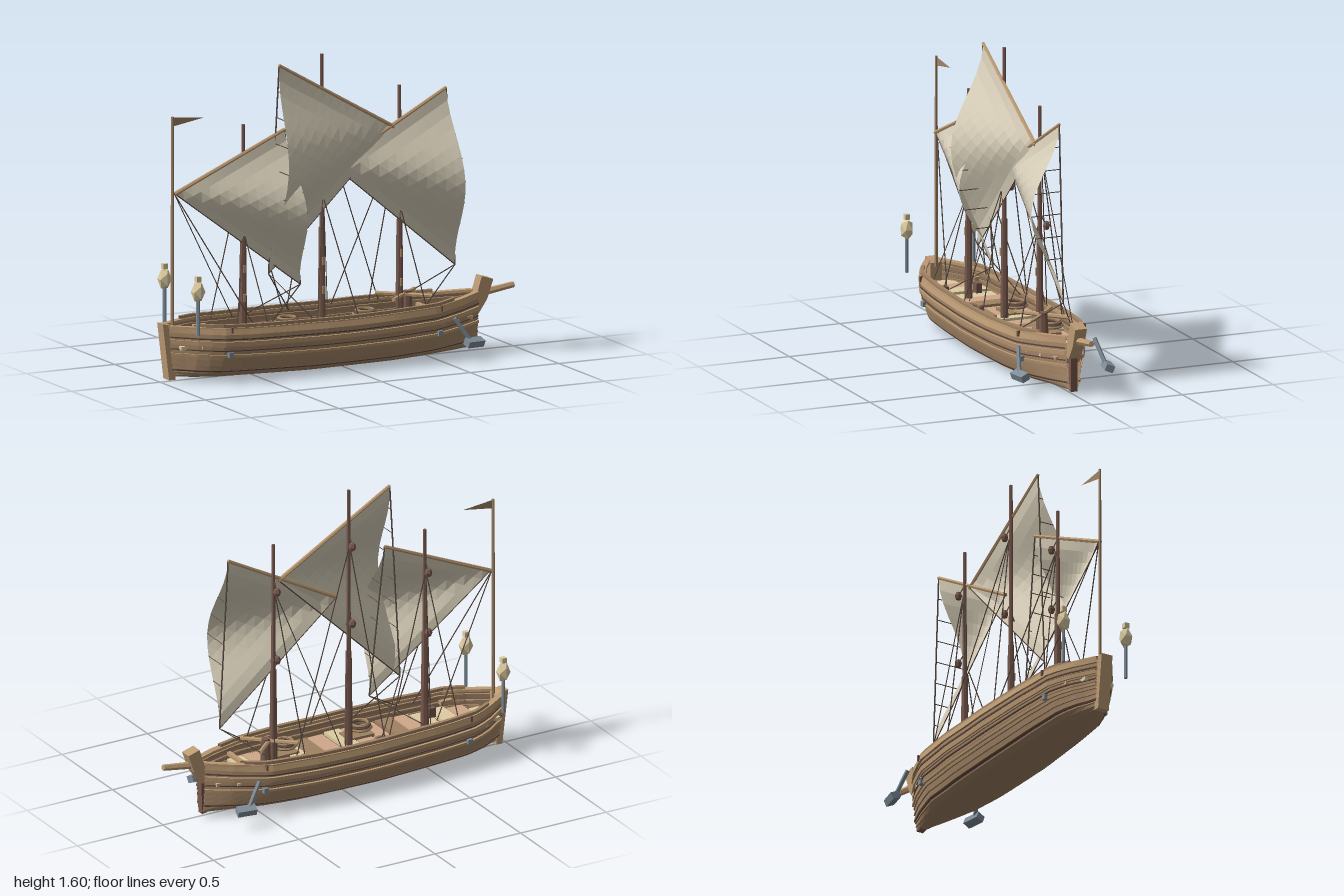
import * as THREE from 'three';

const mat = (name, color, side = THREE.FrontSide) => {
  const m = new THREE.MeshStandardMaterial({ color, side, flatShading: true });
  m.name = name;
  return m;
};
const M = {
  hull: mat('hull wood', 0xa08264, THREE.DoubleSide),
  trim: mat('light trim wood', 0xbd9b74, THREE.DoubleSide),
  dark: mat('dark wood', 0x604a3f, THREE.DoubleSide),
  mast: mat('mast wood', 0x78594d),
  sail: mat('sail cloth', 0xdad1bb, THREE.DoubleSide),
  pale: mat('pale plank', 0xdecda2),
  warm: mat('warm plank', 0xd0a88a),
  metal: mat('grey metal', 0x808e9a),
  rope: mat('rope', 0x574840),
};
const V = (x, y, z) => new THREE.Vector3(x, y, z);

// Piecewise linear lookup through [position, value] pairs
function lookup(pts, t) {
  if (t <= pts[0][0]) return pts[0][1];
  for (let i = 1; i < pts.length; i++) {
    const [a, p] = pts[i - 1], [b, q] = pts[i];
    if (t <= b) return p + ((q - p) * (t - a)) / (b - a);
  }
  return pts[pts.length - 1][1];
}
const BEAM = [[-0.97, 0.035], [-0.86, 0.11], [-0.74, 0.175], [-0.5, 0.2], [-0.15, 0.215], [0.2, 0.21], [0.48, 0.18], [0.66, 0.105], [0.78, 0.038]];
const KEEL = [[-0.97, 0.035], [-0.7, 0.02], [-0.2, 0.008], [0.3, 0.012], [0.78, 0.035]];
const SHEER = [[-0.97, 0.3], [-0.6, 0.285], [0, 0.28], [0.5, 0.29], [0.78, 0.315]];
const FLARE = [[0, 0.25], [0.04, 0.47], [0.1, 0.62], [0.2, 0.73], [0.4, 0.85], [0.65, 0.95], [0.88, 1], [1, 0.96]];
const beam = (x) => lookup(BEAM, x);

// Point on the hull skin: height fraction v, pushed out by off and up by lift
function skin(x, v, off, lift, side) {
  const k = lookup(KEEL, x);
  const rake = x < -0.9 ? (1 - v) * 0.025 : 0;
  return [x + rake, k + v * (lookup(SHEER, x) - k) + lift, side * Math.max(0.004, beam(x) * lookup(FLARE, v) + off)];
}

export function createModel() {
  const root = new THREE.Group();
  const add = (geo, material, name) => {
    const m = new THREE.Mesh(geo, material);
    m.name = name;
    root.add(m);
    return m;
  };
  const box = (w, h, d, x, y, z, material, name) => {
    const m = add(new THREE.BoxGeometry(w, h, d), material, name);
    m.position.set(x, y, z);
    return m;
  };
  // Round bar between two points
  const bar = (a, b, r0, r1, material, name, sides = 6) => {
    const d = b.clone().sub(a);
    const m = add(new THREE.CylinderGeometry(r1, r0, d.length(), sides), material, name);
    m.position.copy(a).add(b).multiplyScalar(0.5);
    m.quaternion.setFromUnitVectors(V(0, 1, 0), d.normalize());
  };
  const rope = (a, b, name = 'rigging', r = 0.003) => bar(a, b, r, r, M.rope, name, 4);
  const surface = (pos, idx) => {
    const g = new THREE.BufferGeometry();
    g.setAttribute('position', new THREE.Float32BufferAttribute(pos, 3));
    g.setIndex(idx);
    const flat = g.toNonIndexed();
    flat.computeVertexNormals();
    return flat;
  };
  // Grid surface from a point function over nu by nv cells
  const grid = (nu, nv, fn) => {
    const pos = [], idx = [];
    for (let i = 0; i <= nu; i++) for (let j = 0; j <= nv; j++) pos.push(...fn(i, j));
    for (let i = 0; i < nu; i++) for (let j = 0; j < nv; j++) {
      const a = i * (nv + 1) + j, b = a + nv + 1;
      idx.push(a, b, a + 1, b, b + 1, a + 1);
    }
    return surface(pos, idx);
  };
  // Triangular sheet: row i holds i + 1 points
  const sheet = (n, fn) => {
    const pos = [], idx = [], at = (i, j) => (i * (i + 1)) / 2 + j;
    for (let i = 0; i <= n; i++) for (let j = 0; j <= i; j++) pos.push(...fn(i / n, i ? j / i : 0));
    for (let i = 0; i < n; i++) for (let j = 0; j <= i; j++) {
      idx.push(at(i, j), at(i + 1, j), at(i + 1, j + 1));
      if (j < i) idx.push(at(i, j), at(i + 1, j + 1), at(i, j + 1));
    }
    return surface(pos, idx);
  };
  // Strip along the hull: rows of [height fraction, outward offset, lift]
  const strip = (rows, x0, x1, material, name) => {
    for (const side of [1, -1]) {
      add(grid(28, rows.length - 1, (i, j) => skin(x0 + ((x1 - x0) * i) / 28, ...rows[j], side)), material, name);
    }
  };

  // Overlapping hull planks
  const edges = [0, 0.04, 0.1, 0.17, 0.26, 0.37, 0.5, 0.63, 0.76, 0.88, 1];
  for (let i = 0; i < edges.length - 1; i++) {
    strip([[edges[i], -0.004, 0], [edges[i], 0.008, 0], [edges[i + 1], 0, 0]], -0.97, 0.78, M.hull, 'hullPlank');
  }
  add(grid(28, 1, (i, j) => skin(-0.97 + (1.75 * i) / 28, 0, 0, 0, j ? 1 : -1)), M.hull, 'hullBottom');
  for (const [v0, v1, o, m] of [[0.88, 0.985, 0.013, M.trim], [0.66, 0.74, 0.015, M.trim], [0.43, 0.48, 0.014, M.trim], [0.775, 0.8, 0.011, M.dark], [0.55, 0.57, 0.011, M.dark], [0.13, 0.155, 0.011, M.dark]]) {
    strip([[v0, 0, 0], [v0, o, 0], [v1, o, 0], [v1, 0, 0]], -0.97, 0.78, m, 'rubbingStrake');
  }
  strip([[1, 0.014, -0.012], [1, 0.014, 0.002], [1, -0.022, 0.002], [1, -0.022, -0.012], [1, 0.014, -0.012]], -0.97, 0.78, M.trim, 'gunwale');
  strip([[1, 0.006, 0], [1, 0.006, 0.018], [1, -0.014, 0.018], [1, -0.014, 0]], -0.83, 0.6, M.hull, 'upperRail');

  // Stem and stern posts
  const post = (pts, width, material, name) => {
    const g = new THREE.ExtrudeGeometry(new THREE.Shape(pts.map((p) => new THREE.Vector2(...p))), { depth: width, bevelEnabled: false });
    add(g.translate(0, 0, -width / 2), material, name);
  };
  post([[0.75, 0.2], [0.787, 0.2], [0.835, 0.27], [0.87, 0.37], [0.805, 0.39], [0.78, 0.31], [0.75, 0.25]], 0.064, M.trim, 'stemHead');
  post([[0.75, 0.03], [0.782, 0.025], [0.786, 0.205], [0.75, 0.205]], 0.036, M.mast, 'stemPost');
  post([[-0.965, 0.02], [-0.93, 0.02], [-0.93, 0.29], [-0.96, 0.305], [-1, 0.31]], 0.064, M.trim, 'sternPost');
  bar(V(0.77, 0.292, 0), V(1, 0.325, 0), 0.02, 0.016, M.trim, 'bowsprit');

  // Deck planks laid across the hull
  add(grid(28, 1, (i, j) => { const x = -0.95 + (1.71 * i) / 28; return [x, 0.17, (j ? 1 : -1) * beam(x) * 0.86]; }), M.dark, 'deckBase');
  [...'PWPPWHWWPWHPWWPPW'].forEach((c, i) => {
    const x = -0.88 + i * 0.098;
    box(0.086, 0.018, beam(x) * 1.76, x, 0.188 + (i % 3) * 0.005, 0, { P: M.pale, W: M.warm, H: M.hull }[c], 'deckPlank');
  });
  for (const s of [1, -1]) {
    for (const x of [-0.22, 0.22]) {
      box(0.15, 0.02, 0.1, x + 0.04, 0.205, s * 0.08, M.hull, 'hatch');
      for (let k = 0; k < 3; k++) {
        const coil = add(new THREE.TorusGeometry(0.058 - k * 0.007, 0.008, 5, 16), k === 1 ? M.dark : M.hull, 'ropeCoil');
        coil.rotation.x = Math.PI / 2;
        coil.position.set(x, 0.225 + k * 0.01, s * 0.12);
      }
    }
    // Benches and side fittings
    box(0.07, 0.02, 0.025, -0.72, 0.25, s * 0.115, M.trim, 'bench');
    box(0.04, 0.05, 0.03, -0.62, 0.225, s * 0.09, M.mast, 'bollard');
    box(0.02, 0.02, 0.13, 0.53, 0.24, s * 0.08, M.trim, 'bench');
    for (const x of [-0.69, 0.5]) {
      box(0.026, 0.026, 0.025, x, 0.15, s * (beam(x) * 0.92 + 0.008), M.metal, 'portPlate');
      box(0.01, 0.03, 0.016, x, 0.28, s * (beam(x) + 0.01), M.mast, 'cleat');
    }

    // Stern lanterns
    bar(V(-0.88, 0.27, s * 0.185), V(-0.88, 0.46, s * 0.185), 0.009, 0.009, M.metal, 'lanternPole');
    const lamp = add(new THREE.IcosahedronGeometry(0.037), M.pale, 'lantern');
    lamp.scale.y = 1.55;
    lamp.position.set(-0.88, 0.495, s * 0.185);
    box(0.026, 0.028, 0.026, -0.88, 0.56, s * 0.185, M.pale, 'lanternCap');

    // Bow anchors
    bar(V(0.56, 0.23, s * 0.21), V(0.635, 0.115, s * 0.236), 0.011, 0.011, M.metal, 'anchorShank');
    const head = box(0.1, 0.036, 0.045, 0.655, 0.103, s * 0.242, M.metal, 'anchorHead');
    head.rotation.set(s * 0.4, s * 0.17, -0.1);
  }

  // Capstan with crossed bars
  bar(V(0.4, 0.19, 0), V(0.4, 0.35, 0), 0.03, 0.022, M.mast, 'capstan', 8);
  for (const s of [1, -1]) bar(V(0.27, 0.332, s * 0.1), V(0.49, 0.332, -s * 0.1), 0.011, 0.011, M.trim, 'capstanBar');

  // Masts, yards, sails and rigging
  const rigs = [
    { x: -0.53, top: 1.29, blocks: [1.065, 0.735], tack: [-0.92, 0.97], peak: [-0.3, 1.245], clew: [-0.21, 0.44], haul: -0.45, feet: [-0.11, 0.06, 0.31] },
    { x: -0.085, top: 1.61, blocks: [1.31, 0.885], tack: [0.32, 1.2], peak: [-0.33, 1.575], clew: [-0.39, 0.51], haul: -0.2, feet: [-0.11, 0.12, 0.4] },
    { x: 0.355, top: 1.41, blocks: [1.16, 0.785], tack: [-0.02, 1.03], peak: [0.615, 1.375], clew: [0.665, 0.46], haul: 0.42, feet: [-0.09, 0.08, -0.3] },
  ];
  for (const { x, top, blocks, tack, peak, clew, haul, feet } of rigs) {
    bar(V(x, 0.17, 0), V(x, 0.72, 0), 0.022, 0.016, M.mast, 'lowerMast', 8);
    bar(V(x, 0.7, 0), V(x, top, 0), 0.012, 0.009, M.mast, 'upperMast', 8);
    for (const y of [0.4, 0.55]) box(0.012, 0.04, 0.012, x, y, 0.017, M.trim, 'mastCleat');
    for (const y of blocks) {
      const b = add(new THREE.SphereGeometry(0.02, 6, 4), M.mast, 'pulleyBlock');
      b.scale.y = 1.25;
      b.rotation.y = Math.PI / 6;
      b.position.set(x, y, -0.037);
      rope(V(x, y, -0.036), V(x, y + 0.07, 0));
    }
    const T = V(...tack, 0.008), P = V(...peak, 0.008), C = V(...clew, 0.008);
    bar(T, P, 0.011, 0.009, M.trim, 'yard');

    // Lateen sail, swelling most along its free edge
    const cloth = (s, t) => {
      const p = T.clone().lerp(P.clone().lerp(C, t), s);
      p.z += 0.165 * Math.pow(s, 1.25) * Math.sin(Math.PI * t) ** 2;
      return p;
    };
    add(sheet(14, (s, t) => cloth(s, t).toArray()), M.sail, 'sail');
    rope(P, C, 'leechRope', 0.0045);
    rope(T, C, 'footRope', 0.003);
    for (let k = 1; k < 8; k++) rope(P.clone().lerp(C, k / 8), cloth(1, k / 8), 'leechTie', 0.0025);

    // Shrouds: high on the open side, low on the sail side
    feet.forEach((f, k) => {
      const z = beam(x + f) - 0.04;
      rope(V(x, blocks[0], -0.01), V(x + f, 0.28, -z), 'shroud');
      if (k < 2) rope(V(x, blocks[1], 0.01), V(x + f, 0.28, z), 'shroud');
    });
    rope(C, V(haul, 0.28, 0.14), 'sheetRope');
    rope(C, V(haul, 0.28, -0.14), 'sheetRope');
  }
  rope(V(-0.92, 0.97, 0), V(-0.53, 0.28, 0.12), 'brace');
  rope(V(-0.92, 0.97, 0), V(-0.53, 0.28, -0.12), 'brace');

  // Stern flagpole and pennant
  bar(V(-0.93, 0.27, 0), V(-0.93, 1.365, 0), 0.009, 0.008, M.hull, 'flagPole');
  const flag = new THREE.Shape([new THREE.Vector2(-0.93, 1.362), new THREE.Vector2(-0.93, 1.315), new THREE.Vector2(-0.755, 1.345)]);
  add(new THREE.ShapeGeometry(flag), M.hull, 'pennant');
  return root;
}
